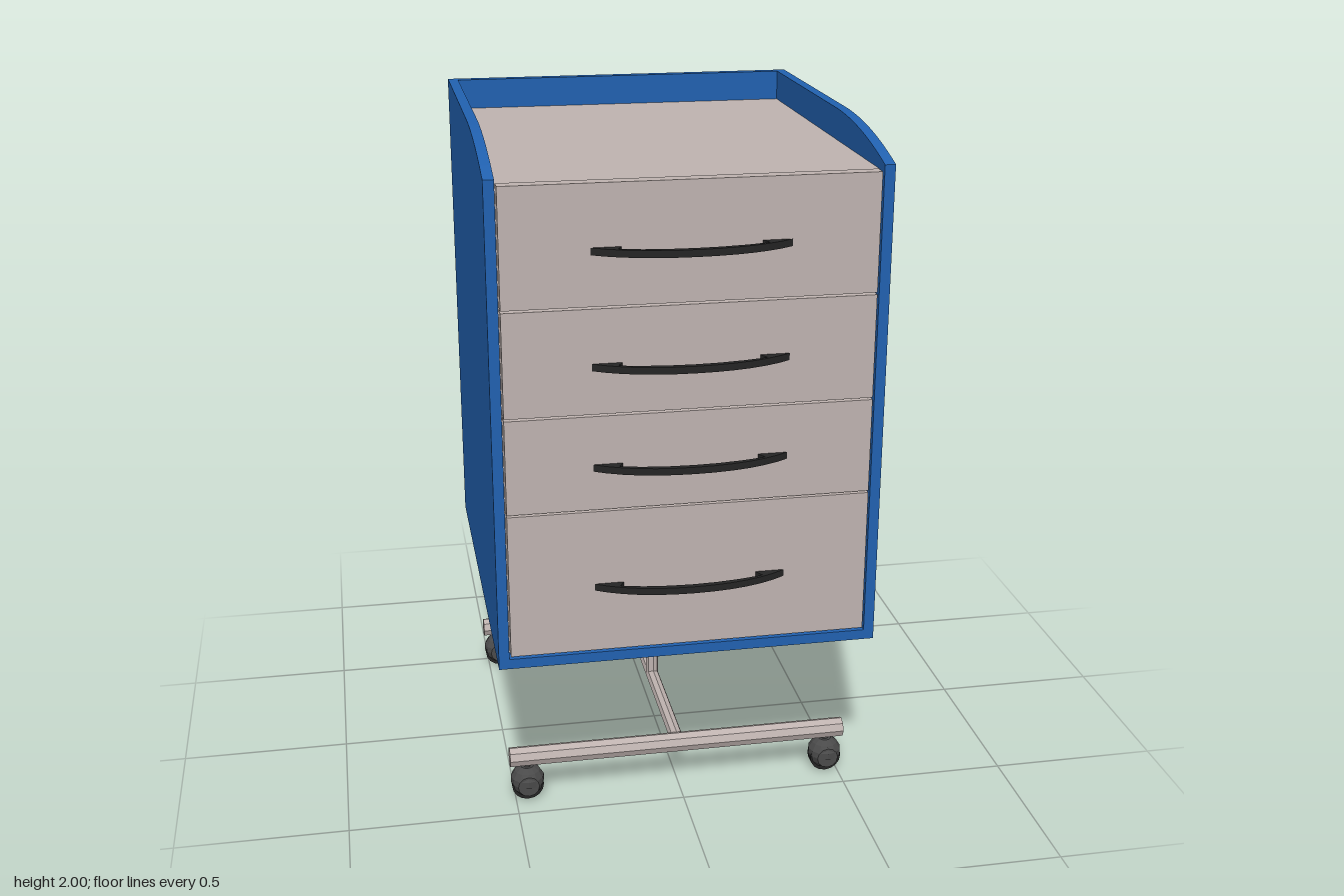
import * as THREE from 'three';

const blue = new THREE.MeshStandardMaterial({ color: 0x2161b0 });
blue.name = 'blue paint';
const beige = new THREE.MeshStandardMaterial({ color: 0xbfb3b0 });
beige.name = 'warm grey';
const black = new THREE.MeshStandardMaterial({ color: 0x252525 });
black.name = 'black plastic';
const darkGrey = new THREE.MeshStandardMaterial({ color: 0x4a4a4a });
darkGrey.name = 'dark grey plastic';

// Faceted normals for low-sided parts
function faceted(geometry) {
  const g = geometry.index ? geometry.toNonIndexed() : geometry;
  g.computeVertexNormals();
  return g;
}

function add(parent, name, geometry, material, x = 0, y = 0, z = 0) {
  const mesh = new THREE.Mesh(geometry, material);
  mesh.name = name;
  mesh.position.set(x, y, z);
  parent.add(mesh);
  return mesh;
}

// Box given by its limits
function box(parent, name, material, x0, x1, y0, y1, z0, z1) {
  return add(parent, name, new THREE.BoxGeometry(x1 - x0, y1 - y0, z1 - z0), material,
    (x0 + x1) / 2, (y0 + y1) / 2, (z0 + z1) / 2);
}

// Straight bar along one axis
function bar(parent, name, axis, radius, length, x, y, z) {
  const g = new THREE.CylinderGeometry(radius, radius, length, 8);
  if (axis === 'x') g.rotateZ(Math.PI / 2);
  if (axis === 'z') g.rotateX(Math.PI / 2);
  return add(parent, name, faceted(g), beige, x, y, z);
}

// Side panel with a top edge that curves down to the front
function sidePanelGeometry() {
  const s = new THREE.Shape();
  s.moveTo(-0.64, 0.525);
  s.lineTo(0.57, 0.525);
  s.lineTo(0.57, 1.93);
  s.quadraticCurveTo(0.33, 2.0, 0.08, 2.0);
  s.lineTo(-0.64, 2.0);
  s.closePath();
  const g = new THREE.ExtrudeGeometry(s, { depth: 0.03, bevelEnabled: false, curveSegments: 12 });
  return g.rotateY(-Math.PI / 2); // shape x becomes +z, thickness runs to -x
}

// Bowed flat handle, drawn in plan and extruded upward
function handleGeometry() {
  const s = new THREE.Shape();
  s.moveTo(-0.275, 0);
  s.lineTo(-0.19, 0);
  s.lineTo(-0.205, 0.027);
  s.quadraticCurveTo(0, 0.077, 0.205, 0.027);
  s.lineTo(0.19, 0);
  s.lineTo(0.275, 0);
  s.quadraticCurveTo(0.17, 0.069, 0, 0.069);
  s.quadraticCurveTo(-0.17, 0.069, -0.275, 0);
  const g = new THREE.ExtrudeGeometry(s, { depth: 0.02, bevelEnabled: false, curveSegments: 6 });
  return g.rotateX(Math.PI / 2).translate(0, 0.01, 0);
}

// Wheel between two rounded cheeks under a domed hood
function makeCaster(x, z) {
  const caster = new THREE.Group();
  caster.name = 'caster';
  caster.position.set(x, 0, z);
  const wheel = new THREE.CylinderGeometry(0.048, 0.048, 0.036, 16).rotateX(Math.PI / 2);
  add(caster, 'wheel', faceted(wheel), black, 0, 0.05, 0);
  for (const side of [-1, 1]) {
    const cheek = new THREE.CylinderGeometry(0.032, 0.045, 0.026, 12)
      .rotateX(side * Math.PI / 2);
    add(caster, 'wheelCheek', faceted(cheek), darkGrey, 0, 0.058, side * 0.031);
  }
  const profile = [[0, 0.055], [0.05, 0.055], [0.05, 0.075], [0.038, 0.095], [0.02, 0.108], [0, 0.108]]
    .map(([r, y]) => new THREE.Vector2(r, y));
  add(caster, 'hood', faceted(new THREE.LatheGeometry(profile, 12)), darkGrey);
  add(caster, 'stem', new THREE.CylinderGeometry(0.012, 0.012, 0.03, 8), darkGrey, 0, 0.115, 0);
  return caster;
}

export function createModel() {
  const model = new THREE.Group();
  model.name = 'drawerTrolley';

  // Cabinet shell
  const cabinet = new THREE.Group();
  cabinet.name = 'cabinet';
  model.add(cabinet);
  const side = sidePanelGeometry();
  add(cabinet, 'leftPanel', side, blue, 0.55);
  add(cabinet, 'rightPanel', side, blue, -0.52);
  box(cabinet, 'backPanel', blue, -0.52, 0.52, 0.525, 2.0, -0.64, -0.61);
  box(cabinet, 'bottomPanel', blue, -0.52, 0.52, 0.525, 0.555, -0.61, 0.57);
  box(cabinet, 'topTray', beige, -0.52, 0.52, 0.555, 1.91, -0.61, 0.527);

  // Drawers: bottom, top and handle height
  const drawers = [
    [1.579, 1.912, 1.73],
    [1.276, 1.573, 1.41],
    [0.996, 1.27, 1.12],
    [0.563, 0.99, 0.76],
  ];
  const handle = handleGeometry();
  for (const [y0, y1, hy] of drawers) {
    const drawer = new THREE.Group();
    drawer.name = 'drawer';
    box(drawer, 'drawerFront', beige, -0.515, 0.515, y0, y1, 0.53, 0.57);
    add(drawer, 'handle', handle, black, 0, hy, 0.569);
    model.add(drawer);
  }

  // Stand: post, spine and two cross bars with casters
  const stand = new THREE.Group();
  stand.name = 'stand';
  model.add(stand);
  bar(stand, 'post', 'y', 0.02, 0.385, 0, 0.3325, -0.035);
  bar(stand, 'spine', 'z', 0.021, 0.875, 0, 0.14, -0.0325);
  for (const z of [0.405, -0.47]) {
    bar(stand, 'crossBar', 'x', 0.03, 1.03, 0, 0.14, z);
    for (const x of [-0.463, 0.463]) stand.add(makeCaster(x, z));
  }
  return model;
}
